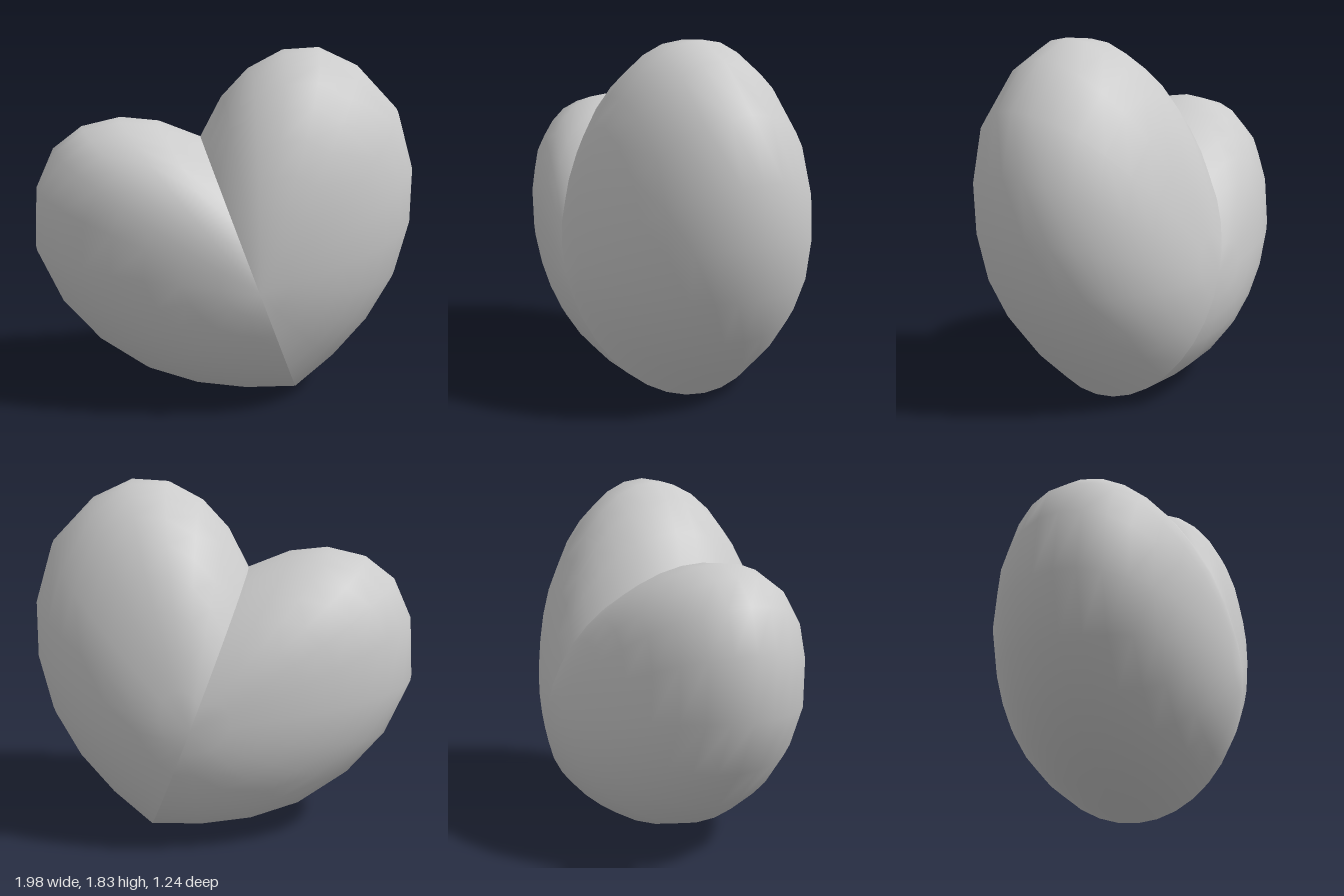
import * as THREE from 'three';

// Half outline of the heart in its own frame: from notch, round the lobe, to the tip at (0, 0)
const OUTLINE = [
  [0, 1.46], [0.177, 1.62], [0.357, 1.71], [0.55, 1.735], [0.729, 1.68], [0.887, 1.52], [1.01, 1.235],
  [0.988, 0.925], [0.885, 0.653], [0.72, 0.415], [0.507, 0.235], [0.263, 0.1], [0, 0],
];
const MID = 0.73;     // height of the thickest point on the axis
const DEPTH = 0.62;   // half thickness
const RINGS = 18;     // rings from front pole to back pole
const AXIS = new THREE.Vector2(-0.349, 0.937); // leaning axis of the heart
const TIP = new THREE.Vector2(0.39, 0.005);

// Heart frame to model frame, with a slight lean in depth
function place(u, v, w) {
  const x = TIP.x + u * AXIS.y + v * AXIS.x;
  const y = TIP.y - u * AXIS.x + v * AXIS.y;
  return [x, y, w + 0.05 * (y - 0.7) - 0.02 * (x - 0.135)];
}

// One lobe: the outline shrinks elliptically towards the front and back poles
function lobeGeometry(side) {
  const cols = OUTLINE.length;
  const positions = [];
  const index = [];
  for (let i = 0; i <= RINGS; i++) {
    const phi = (Math.PI * i) / RINGS;
    const r = i === RINGS ? 0 : Math.sin(phi);
    for (const [u, v] of OUTLINE) {
      positions.push(...place(side * u * r, MID + (v - MID) * r, DEPTH * Math.cos(phi)));
    }
  }
  const face = (a, b, c) => (side > 0 ? index.push(a, b, c) : index.push(a, c, b));
  for (let i = 0; i < RINGS; i++) {
    for (let j = 0; j < cols - 1; j++) {
      const a = i * cols + j, b = a + cols;
      if (i < RINGS - 1) face(a, b + 1, b);
      if (i > 0) face(a, a + 1, b + 1);
    }
  }
  const geometry = new THREE.BufferGeometry();
  geometry.setAttribute('position', new THREE.Float32BufferAttribute(positions, 3));
  geometry.setIndex(index);
  geometry.computeVertexNormals();
  // Both lobes share the same normal at the poles
  for (let j = 0; j < cols; j++) {
    geometry.attributes.normal.setXYZ(j, 0, 0, 1);
    geometry.attributes.normal.setXYZ(RINGS * cols + j, 0, 0, -1);
  }
  return geometry;
}

export function createModel() {
  const heart = new THREE.Group();
  heart.name = 'heart';
  const material = new THREE.MeshStandardMaterial({ color: 0xcccccc });
  for (const [name, side] of [['leftLobe', 1], ['rightLobe', -1]]) {
    const lobe = new THREE.Mesh(lobeGeometry(side), material);
    lobe.name = name;
    heart.add(lobe);
  }
  return heart;
}
